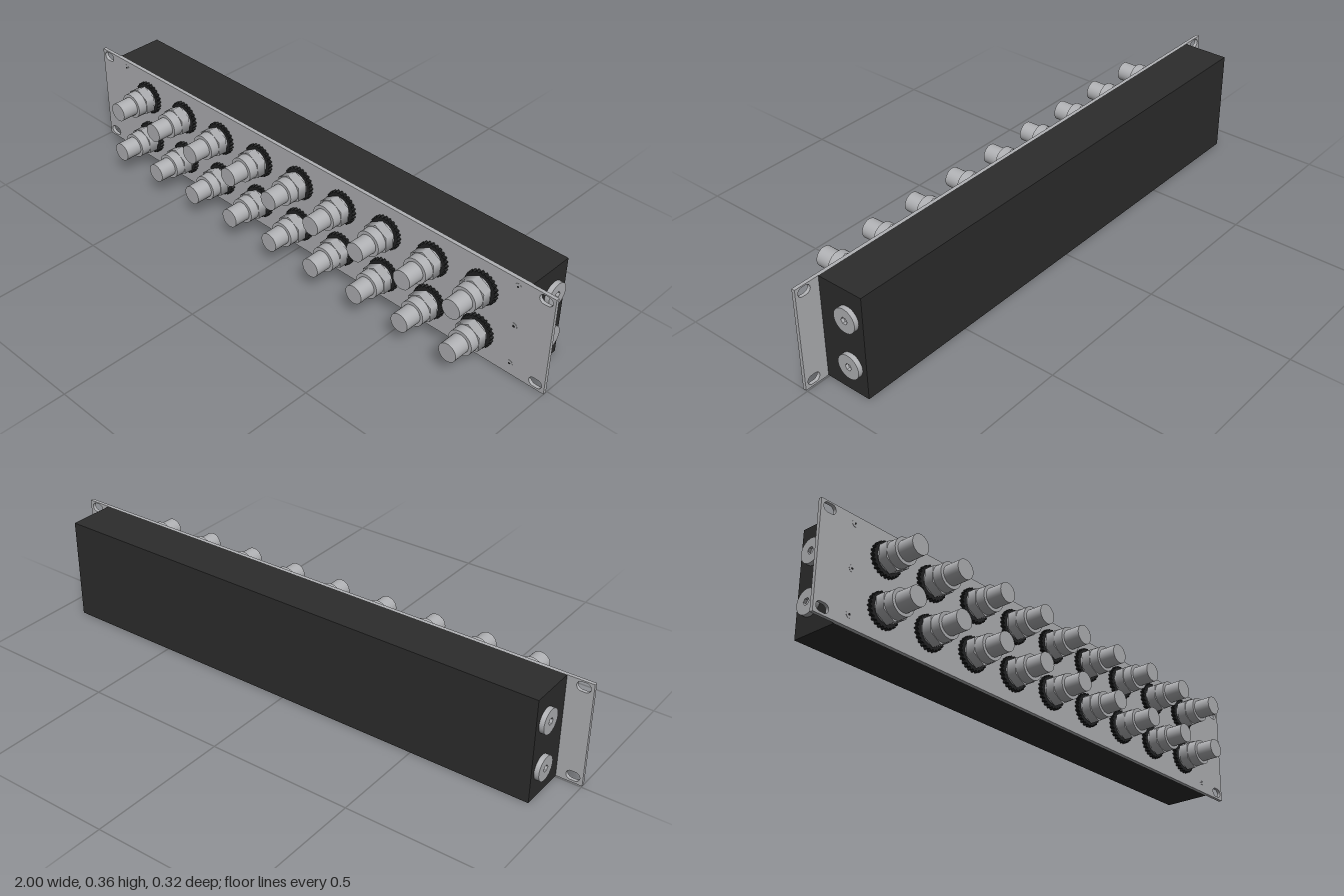
import * as THREE from 'three';

export function createModel() {
  const model = new THREE.Group();
  model.name = 'connectorPanel';
  const metal = new THREE.MeshStandardMaterial({ color: 0xb0b1b4 });
  metal.name = 'brushed metal';
  const black = new THREE.MeshStandardMaterial({ color: 0x2c2c2c });
  black.name = 'black housing';
  const rubber = new THREE.MeshStandardMaterial({ color: 0x222324 });
  rubber.name = 'black washer';

  const add = (parent, name, geometry, material, x = 0, y = 0, z = 0) => {
    const mesh = new THREE.Mesh(geometry, material);
    mesh.name = name;
    mesh.position.set(x, y, z);
    parent.add(mesh);
    return mesh;
  };
  // Cylinder along z, starting at z0 and ending at z1
  const barrel = (r, z0, z1, sides = 32) =>
    new THREE.CylinderGeometry(r, r, z1 - z0, sides).rotateX(Math.PI / 2).translate(0, 0, (z0 + z1) / 2);

  const H = 0.36, FRONT = 0.017, BACK = 0.005;
  const rows = [0.098, 0.264];

  // Rack face plate with a rounded slot in each corner
  const plate = new THREE.Shape([[-1, 0], [1, 0], [1, H], [-1, H]].map(p => new THREE.Vector2(...p)));
  for (const x of [-0.967, 0.967]) {
    for (const y of [0.024, 0.339]) {
      const slot = new THREE.Path();
      const r = 0.016, d = 0.007;
      slot.absarc(x + d, y, r, -Math.PI / 2, Math.PI / 2, false);
      slot.absarc(x - d, y, r, Math.PI / 2, Math.PI * 1.5, false);
      slot.closePath();
      plate.holes.push(slot);
    }
  }
  add(model, 'facePlate',
    new THREE.ExtrudeGeometry(plate, { depth: FRONT - BACK, bevelEnabled: false, curveSegments: 10 }),
    metal, 0, 0, BACK);

  // Housing behind the plate
  add(model, 'housing', new THREE.BoxGeometry(1.824, H, 0.166), black, 0, H / 2, -0.078);

  // Toothed washer outline
  const washer = new THREE.Shape();
  const teeth = 24;
  for (let i = 0; i < teeth * 4; i++) {
    const r = i % 4 < 2 ? 0.0585 : 0.053;
    const a = (i / (teeth * 4)) * Math.PI * 2;
    washer[i ? 'lineTo' : 'moveTo'](r * Math.cos(a), r * Math.sin(a));
  }
  washer.closePath();
  const connectorParts = [
    ['washer', new THREE.ExtrudeGeometry(washer, { depth: 0.013, bevelEnabled: false }).translate(0, 0, FRONT), rubber],
    ['collar', barrel(0.042, 0.029, 0.039), metal],
    ['hexNut', barrel(0.052, 0.038, 0.071, 6), metal],
    ['body', barrel(0.044, 0.07, 0.104), metal],
    ['tip', barrel(0.033, 0.103, 0.163), metal],
  ];

  // Two rows of nine connectors
  for (const y of rows) {
    for (let i = -4; i <= 4; i++) {
      const connector = new THREE.Group();
      connector.name = 'connector';
      connector.position.set(i * 0.187, y, 0);
      for (const [name, geometry, material] of connectorParts) add(connector, name, geometry, material);
      model.add(connector);
    }
  }

  // Side plugs with a hexagonal socket
  const plugShape = new THREE.Shape();
  plugShape.absarc(0, 0, 0.0415, 0, Math.PI * 2, false);
  const socket = new THREE.Path();
  for (let i = 0; i < 6; i++) {
    const a = (i / 6) * Math.PI * 2;
    socket[i ? 'lineTo' : 'moveTo'](0.0125 * Math.cos(a), 0.0125 * Math.sin(a));
  }
  socket.closePath();
  plugShape.holes.push(socket);
  const plugRing = new THREE.ExtrudeGeometry(plugShape, { depth: 0.016, bevelEnabled: false, curveSegments: 24 });
  const plugFloor = barrel(0.02, -0.002, 0.006);
  for (const side of [-1, 1]) {
    for (const y of rows) {
      const plug = new THREE.Group();
      plug.name = side > 0 ? 'leftPlug' : 'rightPlug';
      add(plug, 'plugHead', plugRing, metal);
      add(plug, 'plugSocketFloor', plugFloor, metal);
      plug.position.set(side * 0.912, y, -0.103);
      plug.rotation.y = side * Math.PI / 2;
      model.add(plug);
    }
  }

  // Small flush screws on the plate
  const screwHead = barrel(0.012, FRONT - 0.002, FRONT + 0.0008, 20);
  const screwSocket = barrel(0.004, FRONT, FRONT + 0.0014, 6);
  const spots = [[0.27, 0.185], [0.87, 0.04], [0.87, 0.185], [0.87, 0.333]];
  for (const side of [-1, 1]) {
    for (const [x, y] of spots) {
      add(model, 'screwHead', screwHead, metal, side * x, y);
      add(model, 'screwSocket', screwSocket, rubber, side * x, y);
    }
  }
  return model;
}
